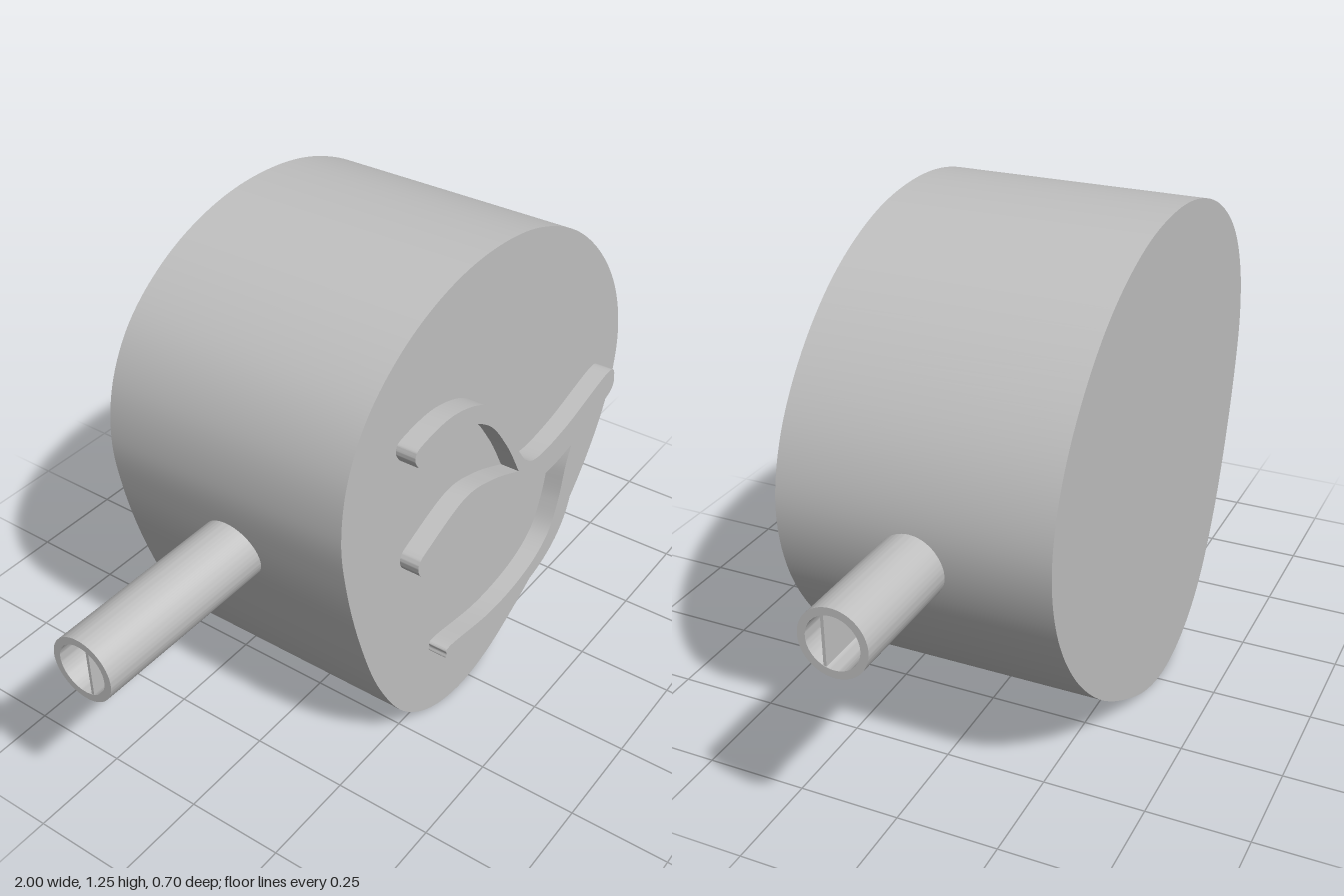
import * as THREE from 'three';
import { toCreasedNormals } from 'three/addons/utils/BufferGeometryUtils.js';

const toVectors = (pts) => pts.map(([x, y]) => new THREE.Vector2(x, y));

// Smooth open curve through a few points
const smooth = (pts, n = 8) => new THREE.SplineCurve(toVectors(pts)).getPoints(pts.length * n);

// Smooth closed outline through a few points
function closedOutline(pts, n) {
  const curve = new THREE.CatmullRomCurve3(
    pts.map(([x, y]) => new THREE.Vector3(x, y, 0)), true, 'centripetal');
  return curve.getPoints(n).slice(0, -1).map((p) => new THREE.Vector2(p.x, p.y));
}

function extrude(shape, depth, curveSegments = 12) {
  const g = new THREE.ExtrudeGeometry(shape, { depth, bevelEnabled: false, curveSegments });
  return toCreasedNormals(g, Math.PI / 5);
}

function circlePath(x, y, r) {
  return new THREE.Path().absarc(x, y, r, 0, Math.PI * 2, true);
}

export function createModel() {
  const model = new THREE.Group();
  const grey = new THREE.MeshStandardMaterial({ color: 0xc0c0c0 });
  grey.name = 'light grey';

  const add = (name, geometry, parent = model) => {
    const mesh = new THREE.Mesh(geometry, grey);
    mesh.name = name;
    parent.add(mesh);
    return mesh;
  };

  // Rounded, lopsided body
  const outline = closedOutline([
    [0, 1.248], [0.2, 1.222], [0.4, 1.132], [0.56, 0.99], [0.655, 0.84], [0.69, 0.69],
    [0.662, 0.53], [0.565, 0.36], [0.4, 0.195], [0.2, 0.07], [0.07, 0.016], [-0.05, 0],
    [-0.18, 0.03], [-0.3, 0.115], [-0.405, 0.275], [-0.48, 0.47], [-0.53, 0.67],
    [-0.545, 0.81], [-0.52, 0.95], [-0.45, 1.07], [-0.325, 1.168], [-0.17, 1.228],
  ], 176);
  add('body', extrude(new THREE.Shape(outline), 0.65)).position.z = -0.35;

  // Raised branching vein on the front, in three smooth runs between sharp forks
  const outer = smooth([
    [-0.335, 0.897], [-0.348, 0.925], [-0.325, 0.948], [-0.2, 0.957], [-0.07, 0.912], [0.03, 0.81],
    [0.1, 0.685], [0.175, 0.615], [0.33, 0.622], [0.55, 0.674], [0.588, 0.635], [0.57, 0.6],
    [0.49, 0.578], [0.447, 0.535], [0.415, 0.44], [0.37, 0.315], [0.28, 0.24], [0.13, 0.204],
    [-0.02, 0.208], [-0.18, 0.234], [-0.195, 0.252], [-0.175, 0.268], [0.01, 0.242], [0.17, 0.256],
    [0.275, 0.305], [0.325, 0.39], [0.352, 0.49], [0.375, 0.545],
  ]);
  const middle = smooth([
    [0.375, 0.545], [0.28, 0.533], [0.15, 0.538], [0.01, 0.577], [-0.12, 0.61], [-0.275, 0.572],
    [-0.318, 0.586], [-0.325, 0.622], [-0.285, 0.646], [-0.14, 0.694], [-0.02, 0.674], [0.104, 0.624],
  ]);
  const upper = smooth([
    [0.104, 0.624], [0.04, 0.735], [-0.05, 0.845], [-0.17, 0.902], [-0.335, 0.897],
  ]);
  const vein = new THREE.Shape([...outer, ...middle.slice(1), ...upper.slice(1, -1)]);
  for (const [x, y] of [[-0.323, 0.924], [-0.29, 0.609], [-0.178, 0.252]]) {
    vein.holes.push(circlePath(x, y, 0.005));
  }
  add('frontVein', extrude(vein, 0.055)).position.z = 0.295;

  // Hollow tubes out of both sides, each split by a thin dividing wall
  const ring = new THREE.Shape().absarc(0, 0, 0.08, 0, Math.PI * 2, false);
  ring.holes.push(circlePath(0, 0, 0.062));
  const tubeGeometry = extrude(ring, 0.6, 48);
  for (const [side, s] of [['left', 1], ['right', -1]]) {
    const port = new THREE.Group();
    port.name = side + 'Port';
    port.position.set(0, 0.625, -0.025);
    model.add(port);

    const tube = add(side + 'Tube', tubeGeometry, port);
    tube.rotation.y = s * Math.PI / 2;
    tube.position.x = s * 0.4;

    const wall = add(side + 'DividingWall', new THREE.BoxGeometry(0.598, 0.118, 0.007), port);
    wall.position.set(s * 0.7, 0, 0.021);
  }

  return model;
}
